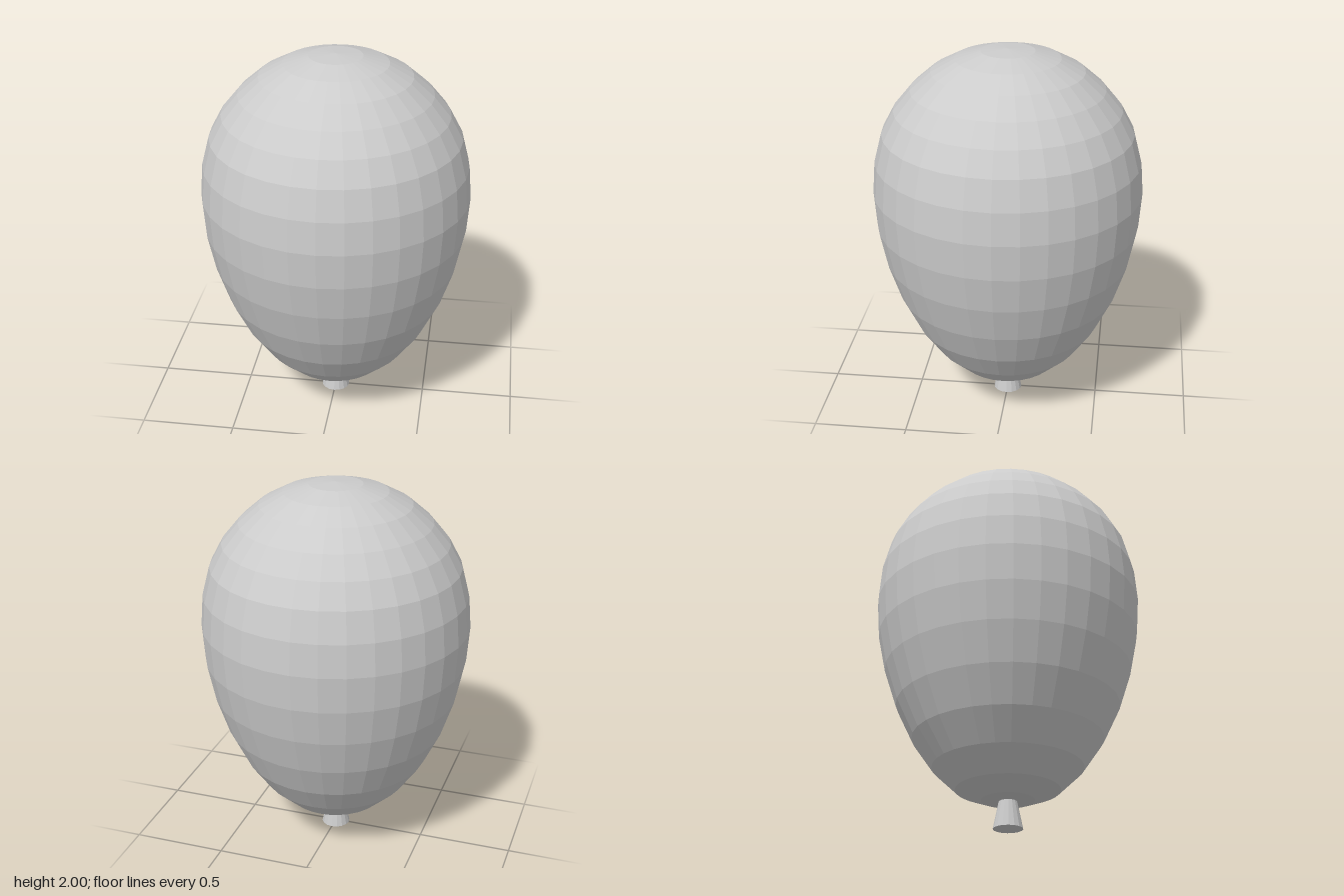
import * as THREE from 'three';

export function createModel() {
  const group = new THREE.Group();
  const material = new THREE.MeshStandardMaterial({ color: 0xcccccc, flatShading: true });

  // Balloon body: 16 rings with sine radii, heights stretched towards the neck
  const heights = [0.138, 0.149, 0.202, 0.318, 0.472, 0.655, 0.854, 1.05, 1.241,
    1.411, 1.565, 1.687, 1.793, 1.886, 1.952, 1.99, 2];
  const last = heights.length - 1;
  const profile = heights.map((y, i) => new THREE.Vector2(
    i === 0 || i === last ? 0 : 0.708 * Math.sin(Math.PI * i / last), y));
  const body = new THREE.Mesh(new THREE.LatheGeometry(profile, 32), material);
  body.name = 'balloonBody';
  group.add(body);

  // Flared neck, closed at the bottom and sunk slightly into the body
  const neckHeight = 0.15;
  const neck = new THREE.Mesh(new THREE.CylinderGeometry(0.046, 0.077, neckHeight, 16), material);
  neck.position.y = neckHeight / 2;
  neck.name = 'neck';
  group.add(neck);

  return group;
}
